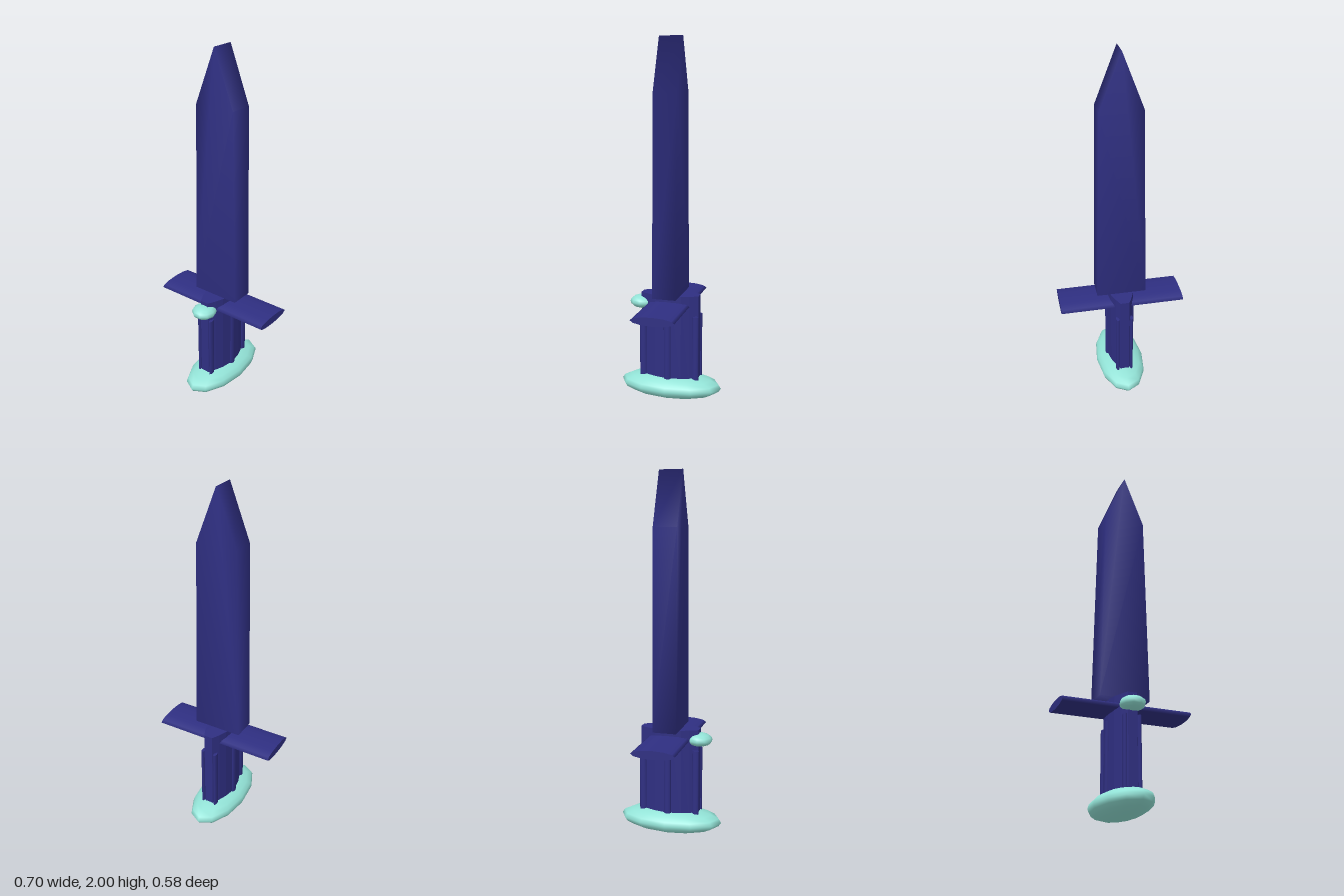
import * as THREE from 'three';
import { mergeVertices } from 'three/addons/utils/BufferGeometryUtils.js';

export function createModel() {
  const group = new THREE.Group();
  const navy = new THREE.MeshStandardMaterial({ color: 0x2f2f82 });
  navy.name = 'navy';
  const aqua = new THREE.MeshStandardMaterial({ color: 0x92e2d6 });
  aqua.name = 'aqua';

  const add = (name, geometry, material, x = 0, y = 0, z = 0) => {
    const mesh = new THREE.Mesh(geometry, material);
    mesh.name = name;
    mesh.position.set(x, y, z);
    group.add(mesh);
    return mesh;
  };

  // Share corner vertices so the shading runs softly over the edges
  const soften = (geometry) => {
    geometry.deleteAttribute('normal');
    geometry.deleteAttribute('uv');
    const merged = mergeVertices(geometry, 1e-4);
    merged.computeVertexNormals();
    return merged;
  };

  const extrude = (points, depth) => new THREE.ExtrudeGeometry(
    new THREE.Shape(points.map(([x, y]) => new THREE.Vector2(x, y))),
    { depth, bevelEnabled: false },
  );

  // Blade: thick tapering slab with a pointed tip
  const blade = extrude(
    [[-0.139, 0.605], [0.139, 0.605], [0.116, 1.7], [0, 2], [-0.116, 1.7]], 0.132);
  blade.translate(0, 0, -0.066);
  add('blade', soften(blade), navy);

  // Grip core: flattened oval column
  const quarter = [[0.025, 0.165], [0.047, 0.12], [0.064, 0.075], [0.073, 0.02]];
  const right = [...quarter, ...quarter.map(([x, z]) => [x, -z]).reverse()];
  const oval = [...right, ...right.map(([x, z]) => [-x, z]).reverse()];
  const grip = extrude(oval, 0.535);
  grip.rotateX(-Math.PI / 2);
  add('grip', grip, navy, 0, 0.07, 0);

  // Raised ribs along both sides of the grip
  for (const side of [-1, 1]) {
    for (const [x, z] of [[0.039, 0.152], [0.075, 0], [0.039, -0.152]]) {
      const rib = new THREE.CylinderGeometry(1, 1, 0.39, 8);
      rib.scale(0.01, 1, 0.02);
      add('gripRib', rib, navy, side * x, 0.295, z);
    }
  }

  // Crossguard: wide bar with a lens-shaped section
  const guard = new THREE.CylinderGeometry(1, 1, 0.704, 12);
  guard.rotateZ(Math.PI / 2);
  guard.scale(1, 0.024, 0.12);
  add('crossguard', guard, navy, 0, 0.548, 0);

  // Pommel and front gem: squashed spheres
  const pommel = new THREE.SphereGeometry(1, 12, 10);
  pommel.scale(0.14, 0.07, 0.292);
  add('pommel', pommel, aqua, 0, 0.07, 0);

  const gem = new THREE.SphereGeometry(1, 10, 8);
  gem.scale(0.068, 0.038, 0.072);
  add('guardGem', gem, aqua, 0, 0.546, 0.165);

  return group;
}
